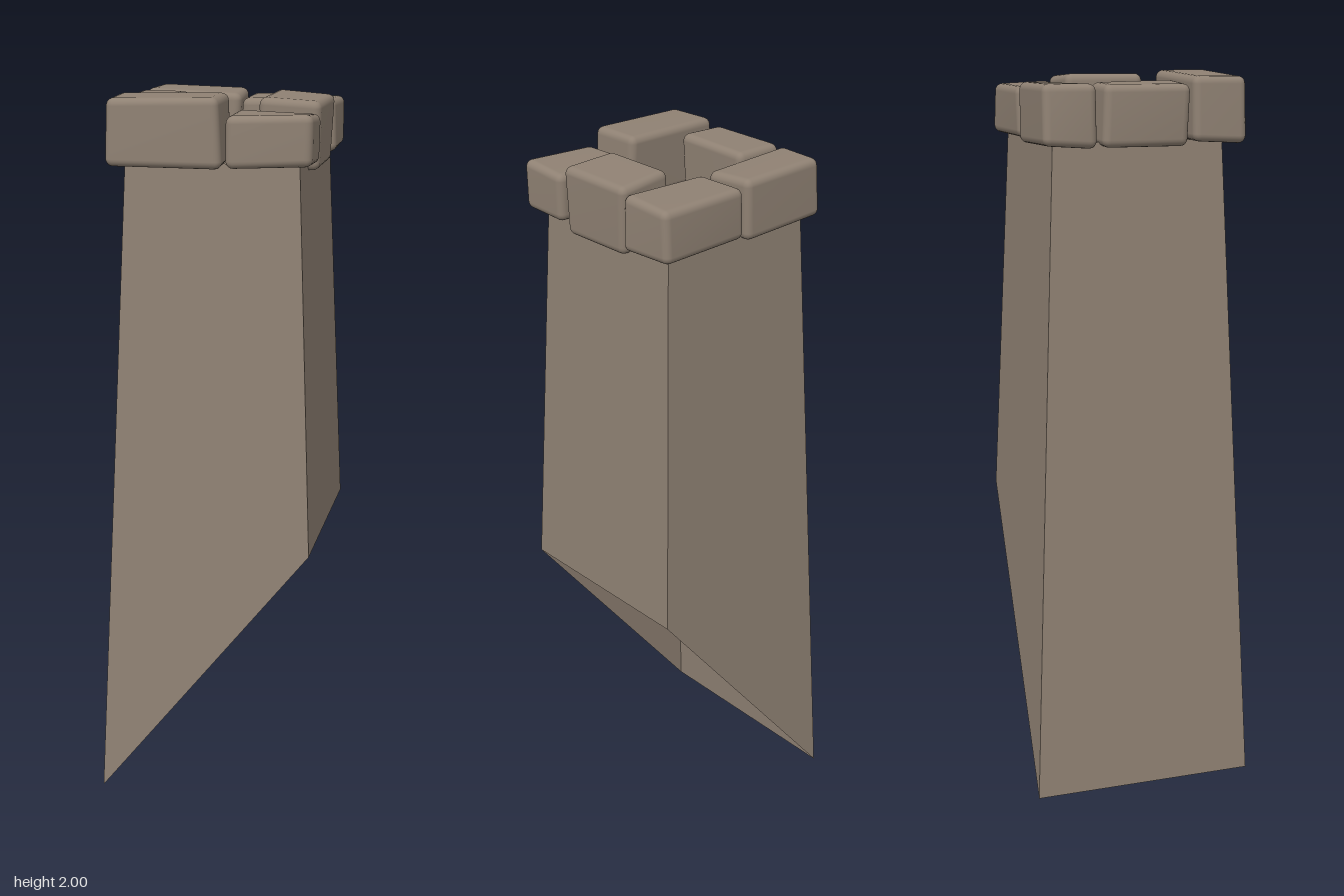
import * as THREE from 'three';
import { mergeVertices } from 'three/addons/utils/BufferGeometryUtils.js';
import { RoundedBoxGeometry } from 'three/addons/geometries/RoundedBoxGeometry.js';

const stone = new THREE.MeshStandardMaterial({ color: 0x8f8173, side: THREE.DoubleSide });
stone.name = 'weathered stone';

// Seeded random numbers in 0..1
function makeRandom(seed) {
  return () => {
    seed = (seed * 16807) % 2147483647;
    return seed / 2147483647;
  };
}

// Open tapered shaft, with its lower end cut off at a slant
function createShaft() {
  const top = [[-0.218, 1.825, 0.235], [0.249, 1.825, 0.235], [0.249, 1.825, -0.237], [-0.218, 1.825, -0.237]];
  const base = [[-0.298, 0, 0.313], [0.297, 0.765, 0.279], [0.297, 0.765, -0.282], [-0.298, 0, -0.317]];
  const positions = [];
  for (let i = 0; i < 4; i++) {
    const j = (i + 1) % 4;
    positions.push(...base[i], ...base[j], ...top[j], ...base[i], ...top[j], ...top[i]);
  }
  const geometry = new THREE.BufferGeometry();
  geometry.setAttribute('position', new THREE.Float32BufferAttribute(positions, 3));
  geometry.computeVertexNormals();
  const mesh = new THREE.Mesh(geometry, stone);
  mesh.name = 'shaft';
  return mesh;
}

// Worn block filling the given bounds, its corners pulled in unevenly
function createBlock(name, [x0, x1], [y0, y1], [z0, z1], seed) {
  const size = [x1 - x0, y1 - y0, z1 - z0];
  let geometry = new RoundedBoxGeometry(...size, 3, 0.02);
  geometry.deleteAttribute('normal');
  geometry.deleteAttribute('uv');
  geometry.clearGroups();
  geometry = mergeVertices(geometry, 1e-5);

  const random = makeRandom(seed);
  const insets = Array.from({ length: 8 }, () => [random() * 0.01, random() * 0.012, random() * 0.01]);
  const p = geometry.attributes.position;
  for (let i = 0; i < p.count; i++) {
    const v = [p.getX(i), p.getY(i), p.getZ(i)];
    const corner = (v[0] > 0 ? 1 : 0) + (v[1] > 0 ? 2 : 0) + (v[2] > 0 ? 4 : 0);
    p.setXYZ(i, ...v.map((c, axis) => c - Math.sign(c) * insets[corner][axis]));
  }
  geometry.computeVertexNormals();

  const mesh = new THREE.Mesh(geometry, stone);
  mesh.name = name;
  mesh.position.set((x0 + x1) / 2, (y0 + y1) / 2, (z0 + z1) / 2);
  return mesh;
}

export function createModel() {
  const model = new THREE.Group();
  model.name = 'stoneChimney';
  model.add(createShaft());

  // Ring of capstones: name, x range, y range, z range
  const crown = new THREE.Group();
  crown.name = 'crown';
  const blocks = [
    ['backRightCapstone', [-0.26, 0.015], [1.81, 1.978], [-0.273, -0.119]],
    ['backLeftCapstone', [0.014, 0.29], [1.81, 1.967], [-0.274, -0.103]],
    ['rightCapstone', [-0.27, -0.12], [1.81, 1.98], [-0.114, 0.134]],
    ['leftCapstone', [0.112, 0.284], [1.793, 1.987], [-0.107, 0.13]],
    ['frontRightCapstone', [-0.262, 0.052], [1.813, 2.002], [0.131, 0.294]],
    ['frontLeftCapstone', [0.059, 0.294], [1.815, 1.96], [0.132, 0.287]],
  ];
  blocks.forEach(([name, x, y, z], i) => crown.add(createBlock(name, x, y, z, 1013 * (i + 3))));
  model.add(crown);
  return model;
}
